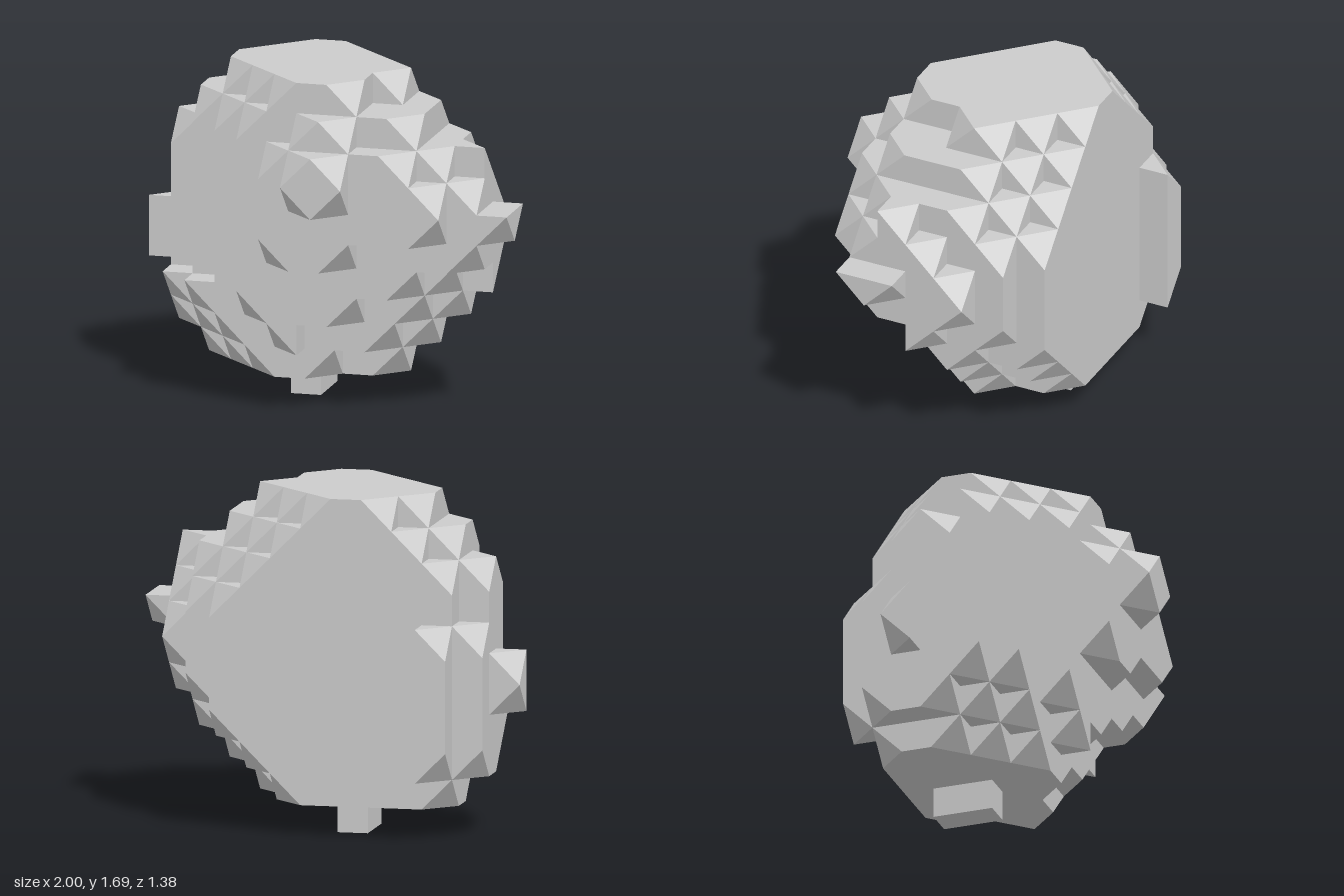
import * as THREE from 'three';

const CELL = 2 / 13;
const SIZE = [13, 11, 9];

// Slanted sides of the main body: a*x + b*y + c*z <= limit, in cells
const UPPER_RIGHT = [[2, 0, -1, 18], [1, 1, -1, 15], [1, 1, 0, 18], [1, 1, 1, 24], [2, 4, 1, 60], [0, 1, 2, 22]];
const UPPER_LEFT = [[-1, 1, 0, 7], [-1, 1, -1, 5], [-1, 1, 1, 11], [-2, 1, -2, 2]];
const LOWER_LEFT = [[-1, 0, 1, 2], [-1, -1, 0, -3], [-2, -1, 2, 2], [-1, -2, 3, 9]];
const LOWER_RIGHT = [[2, -2, -1, 11], [2, -2, 1, 18], [1, -2, 3, 19], [1, -3, 7, 41]];
const SIDES = [...UPPER_RIGHT, ...UPPER_LEFT, ...LOWER_LEFT, ...LOWER_RIGHT];

// Blocks of cells, each from a lowest to a highest cell
const BODY = { from: [1, 1, 1], to: [11, 10, 7] };
const KNOBS = [
  { from: [2, 2, 0], to: [2, 6, 0] }, // rib on the back
  { from: [0, 4, 2], to: [0, 5, 2] }, // stud at low x
  { from: [1, 3, 4], to: [1, 3, 4] }, // spurs below the stud
  { from: [2, 3, 5], to: [2, 3, 5] },
  { from: [12, 6, 5], to: [12, 6, 6] }, // tip at high x
  { from: [11, 5, 3], to: [11, 6, 3] }, // ledge behind the tip
  { from: [11, 8, 5], to: [11, 8, 5] }, // shoulder above the tip
  { from: [5, 0, 2], to: [5, 0, 3] }, // foot
  { from: [6, 7, 8], to: [7, 8, 8] }, // nose
  { from: [6, 9, 7], to: [7, 9, 7] }, // brow
];

const inBlock = (cell, { from, to }) => cell.every((c, a) => c >= from[a] && c <= to[a]);

function solid(cell) {
  const [x, y, z] = cell;
  return KNOBS.some((knob) => inBlock(cell, knob)) ||
    (inBlock(cell, BODY) && SIDES.every(([a, b, c, limit]) => a * x + b * y + c * z <= limit));
}

const shift = (p, axis, by) => p.map((c, a) => (a === axis ? c + by : c));

function forEachPoint([nx, ny, nz], visit) {
  for (let x = 0; x < nx; x++)
    for (let y = 0; y < ny; y++)
      for (let z = 0; z < nz; z++) visit([x, y, z]);
}

// Corners that belong to a single cell are bevelled, never two neighbours at once
function findBevels() {
  const bevels = new Map();
  forEachPoint(SIZE.map((n) => n + 1), (p) => {
    if (p[1] === 0) return; // the foot keeps its flat base
    const owners = [];
    for (let n = 0; n < 8; n++) {
      const d = [n & 1, (n >> 1) & 1, (n >> 2) & 1];
      if (solid(p.map((c, a) => c - d[a]))) owners.push(d.map((s) => (s ? 1 : -1)));
    }
    const taken = [0, 1, 2].some(
      (a) => bevels.has(shift(p, a, 1).join()) || bevels.has(shift(p, a, -1).join()));
    if (owners.length === 1 && !taken) bevels.set(p.join(), { p, out: owners[0] });
  });
  return bevels;
}

function buildRock() {
  const bevels = findBevels();
  const positions = [];
  const addPolygon = (points) => {
    for (let i = 1; i + 1 < points.length; i++)
      for (const q of [points[0], points[i], points[i + 1]])
        positions.push(q[0] * CELL - 1, q[1] * CELL, (q[2] - SIZE[2] / 2) * CELL);
  };

  // Outer cell faces, without their bevelled corners
  forEachPoint(SIZE, (cell) => {
    if (!solid(cell)) return;
    for (let axis = 0; axis < 3; axis++)
      for (const side of [0, 1]) {
        if (solid(shift(cell, axis, side ? 1 : -1))) continue;
        const u = (axis + 1) % 3, v = (axis + 2) % 3;
        const base = shift(cell, axis, side);
        const quad = [[0, 0], [1, 0], [1, 1], [0, 1]]
          .map(([s, t]) => shift(shift(base, u, s), v, t));
        if (!side) quad.reverse();
        addPolygon(quad.filter((q) => !bevels.has(q.join())));
      }
  });

  // Triangular facets closing the bevelled corners
  for (const { p, out } of bevels.values()) {
    const facet = [0, 1, 2].map((a) => shift(p, a, -out[a]));
    if (out[0] * out[1] * out[2] < 0) facet.reverse();
    addPolygon(facet);
  }

  const geometry = new THREE.BufferGeometry();
  geometry.setAttribute('position', new THREE.Float32BufferAttribute(positions, 3));
  geometry.computeVertexNormals();
  return geometry;
}

export function createModel() {
  const group = new THREE.Group();
  group.name = 'facetedRock';
  const material = new THREE.MeshStandardMaterial({ color: 0xcccccc, flatShading: true });
  const rock = new THREE.Mesh(buildRock(), material);
  rock.name = 'rockBody';
  group.add(rock);
  return group;
}
